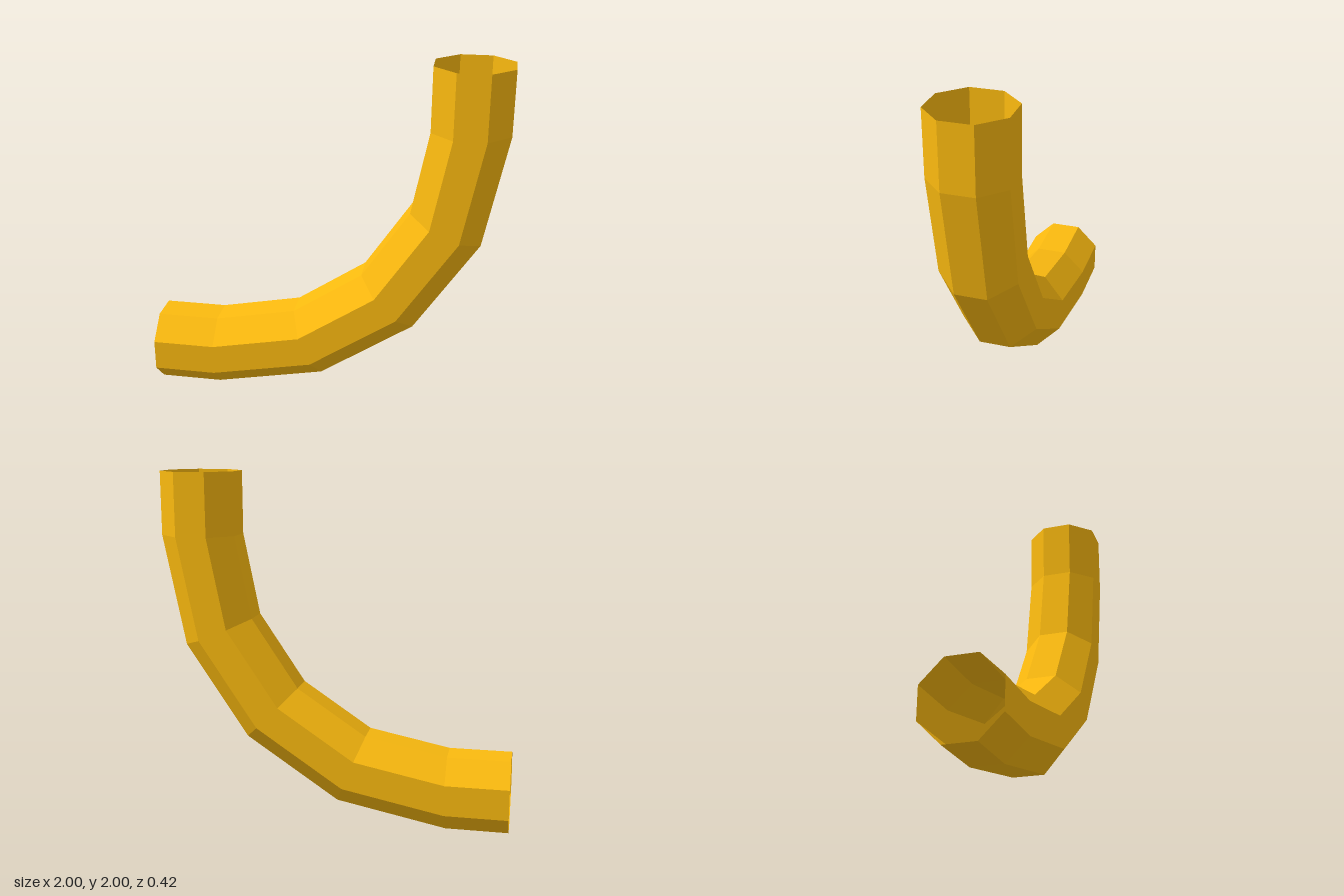
import * as THREE from 'three';

const SIDES = 8, BENDS = 4;
const PIPE_R = 0.23;                                    // corner radius of the octagon
const FLAT_R = PIPE_R * Math.cos(Math.PI / SIDES);      // centre to flat side
const BEND_R = 1.43;                                    // centreline radius of the elbow
const OUTER = BEND_R + FLAT_R;
const CX = 1 - OUTER, CY = OUTER;                       // centre of the bend

// One octagonal ring, swung by angle t around the bend and shifted along a straight end
function ring(t, dx = 0, dy = 0) {
  const points = [];
  for (let k = 0; k <= SIDES; k++) {
    const a = ((k + 0.5) / SIDES) * Math.PI * 2;
    const d = BEND_R + PIPE_R * Math.cos(a);
    points.push([CX + d * Math.sin(t) + dx, CY - d * Math.cos(t) + dy, PIPE_R * Math.sin(a)]);
  }
  return points;
}

function pipeGeometry() {
  // Short horizontal end, four-segment bend, short vertical end
  const rings = [ring(0, -1 - CX, 0)];
  for (let i = 0; i <= BENDS; i++) rings.push(ring((i / BENDS) * Math.PI / 2));
  rings.push(ring(Math.PI / 2, 0, 2 - CY));

  const positions = [];
  for (let i = 0; i < rings.length - 1; i++) {
    for (let k = 0; k < SIDES; k++) {
      const a = rings[i][k], b = rings[i + 1][k];
      const c = rings[i + 1][k + 1], d = rings[i][k + 1];
      positions.push(...a, ...b, ...c, ...a, ...c, ...d);
    }
  }
  const geometry = new THREE.BufferGeometry();
  geometry.setAttribute('position', new THREE.Float32BufferAttribute(positions, 3));
  geometry.computeVertexNormals();
  return geometry;
}

export function createModel() {
  const group = new THREE.Group();
  group.name = 'pipeElbow';
  // Thin open-ended tube, seen from inside as well
  const material = new THREE.MeshStandardMaterial({
    color: 0xfbba0f, flatShading: true, side: THREE.DoubleSide,
  });
  const pipe = new THREE.Mesh(pipeGeometry(), material);
  pipe.name = 'bentPipe';
  group.add(pipe);
  return group;
}
